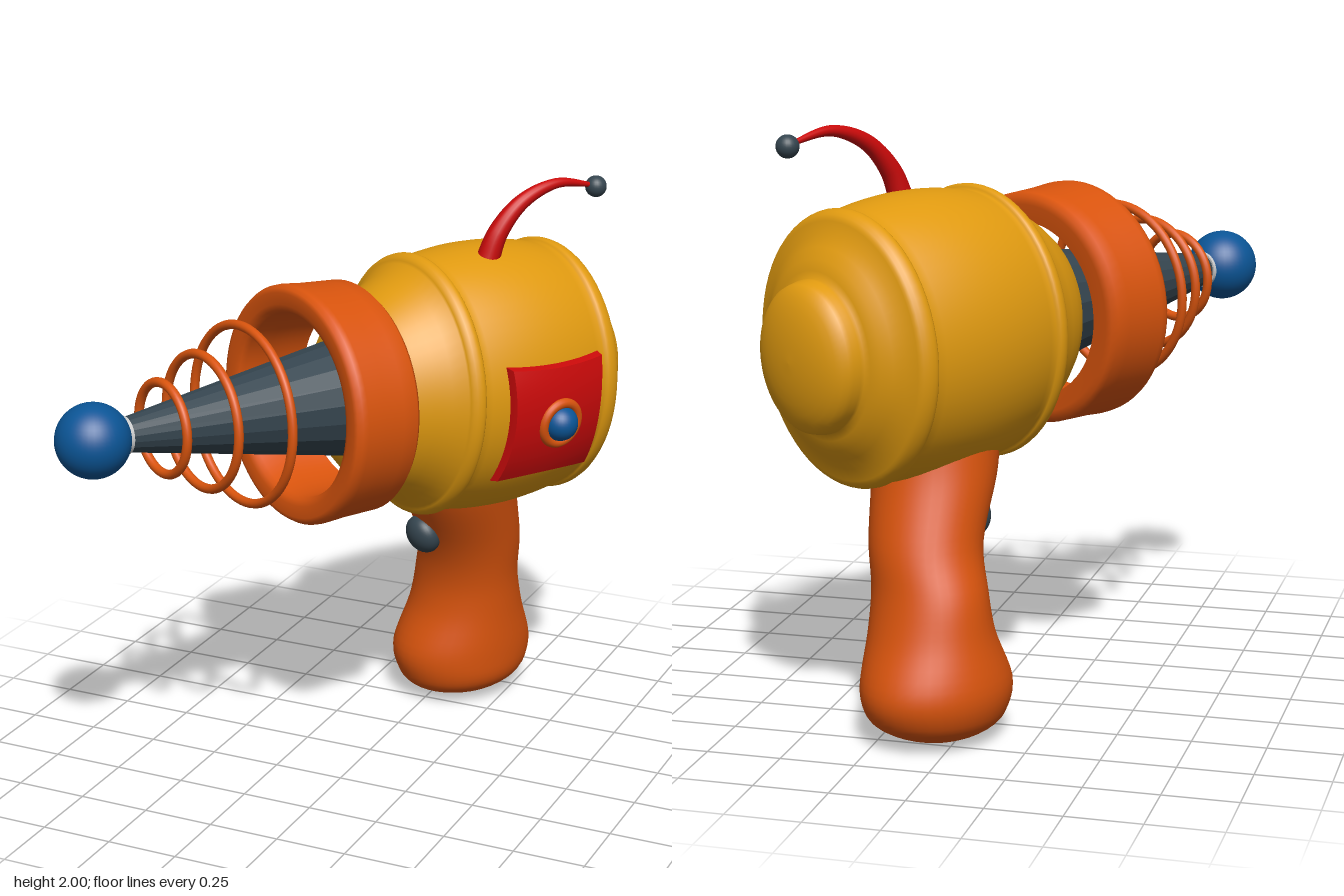
import * as THREE from 'three';
import { mergeVertices } from 'three/addons/utils/BufferGeometryUtils.js';

const mat = (color, extra = {}) => new THREE.MeshStandardMaterial({ color, ...extra });
const YELLOW = mat(0xe09a10), ORANGE = mat(0xd9540d), RED = mat(0xcc0a0a);
const BLUE = mat(0x0b5596), DARK = mat(0x35454f), GREY = mat(0xcccccc);
const DARK_FLAT = mat(0x35454f, { flatShading: true });
const YAW = -Math.PI / 6;   // the barrel points forward and to the model's right
const SQUASH = 0.88;        // the body is narrower than it is tall

function add(parent, name, geometry, material, x = 0, y = 0, z = 0) {
  const mesh = new THREE.Mesh(geometry, material);
  mesh.name = name;
  mesh.position.set(x, y, z);
  parent.add(mesh);
  return mesh;
}

// Lathe around z; points are [z, radius] running from back to front
const latheZ = (pts, seg = 64) =>
  new THREE.LatheGeometry(pts.map(([z, r]) => new THREE.Vector2(r, z)), seg).rotateX(Math.PI / 2);

// Barrel radius along z
const barrel = z => 0.475 - 0.45 * (z + 0.5) ** 2;

// Half-round ridge on the barrel
function ridge(z0, half, height) {
  const pts = [];
  for (let i = 0; i <= 8; i++) {
    const a = Math.PI * (1 - i / 8), z = z0 + half * Math.cos(a);
    pts.push([z, barrel(z) + height * Math.sin(a)]);
  }
  return pts;
}

function bodyGeometry() {
  const pts = [];
  // Domed rear cap
  for (let i = 0; i <= 8; i++) {
    const a = (Math.PI / 2) * (i / 8);
    pts.push([-0.965 - 0.085 * Math.cos(a), 0.245 * Math.sin(a)]);
  }
  pts.push([-0.94, 0.25], [-0.925, 0.25], [-0.92, 0.275], [-0.905, 0.31], [-0.88, 0.345], [-0.855, 0.38]);
  pts.push(...ridge(-0.805, 0.035, 0.022));
  for (let i = 1; i < 16; i++) {
    const z = -0.77 + 0.53 * (i / 16);
    pts.push([z, barrel(z)]);
  }
  pts.push(...ridge(-0.215, 0.03, 0.025));
  // Nose running into the collar
  pts.push([-0.14, 0.395], [-0.09, 0.367], [-0.04, 0.34], [0.02, 0.295], [0.07, 0.24], [0.1, 0.17], [0.12, 0]);
  return latheZ(pts);
}

// Curved plate that follows the flank of the body
function panelGeometry(zc, yc, length, height) {
  const geo = new THREE.BoxGeometry(1, 2, 2, 2, 16, 16);
  const p = geo.attributes.position;
  for (let i = 0; i < p.count; i++) {
    const v = p.getY(i), w = p.getZ(i), outer = p.getX(i) > 0;
    const pinch = outer ? 0.97 : 1;
    const y = yc + v * (height / 2) * (0.95 + 0.05 * w * w) * pinch;
    const z = zc + w * (length / 2) * (0.95 + 0.05 * v * v) * pinch;
    const flank = SQUASH * Math.sqrt(barrel(z) ** 2 - y * y);
    p.setXYZ(i, flank + p.getX(i) * 0.06, y, z);
  }
  geo.computeVertexNormals();
  return geo;
}

// Grip: centre and half sizes (along and across the barrel) swept from top to bottom
function gripGeometry() {
  const sections = [ // x, y, z, along, across
    [0.13, 0.98, -0.47, 0.215, 0.215], [0.123, 0.85, -0.51, 0.207, 0.207],
    [0.125, 0.65, -0.6, 0.185, 0.193], [0.1, 0.5, -0.645, 0.18, 0.204],
    [0.088, 0.36, -0.665, 0.207, 0.213], [0.07, 0.2, -0.675, 0.268, 0.23],
    [0.07, 0.1, -0.67, 0.25, 0.215], [0.065, 0.045, -0.66, 0.195, 0.168],
    [0.06, 0.01, -0.66, 0.1, 0.086], [0.06, 0, -0.66, 0, 0],
  ];
  const centre = new THREE.CatmullRomCurve3(sections.map(s => new THREE.Vector3(s[0], s[1], s[2])), false, 'catmullrom');
  const size = new THREE.CatmullRomCurve3(sections.map(s => new THREE.Vector3(s[3], s[4], 0)), false, 'catmullrom');
  const geo = new THREE.CylinderGeometry(1, 1, 1, 40, 45, true);
  const p = geo.attributes.position, v = new THREE.Vector3(), up = new THREE.Vector3(0, 1, 0);
  for (let i = 0; i < p.count; i++) {
    const t = THREE.MathUtils.clamp(0.5 - p.getY(i), 0, 1);
    const half = size.getPoint(t);
    v.set(p.getX(i) * half.y, 0, p.getZ(i) * half.x).applyAxisAngle(up, YAW).add(centre.getPoint(t));
    p.setXYZ(i, v.x, Math.max(0, v.y), v.z);
  }
  geo.deleteAttribute('uv');
  geo.deleteAttribute('normal');
  const smooth = mergeVertices(geo);
  smooth.computeVertexNormals();
  return smooth;
}

// Tube that narrows from its start to its end
function taperedTube(points, r0, r1) {
  const curve = new THREE.CatmullRomCurve3(points.map(q => new THREE.Vector3(...q)));
  const rings = 32, sides = 16;
  const geo = new THREE.TubeGeometry(curve, rings, r0, sides);
  const p = geo.attributes.position, v = new THREE.Vector3();
  for (let i = 0; i < p.count; i++) {
    const t = Math.floor(i / (sides + 1)) / rings, c = curve.getPointAt(t);
    v.fromBufferAttribute(p, i).sub(c).multiplyScalar(1 + (r1 / r0 - 1) * t).add(c);
    p.setXYZ(i, v.x, v.y, v.z);
  }
  return geo;
}

export function createModel() {
  const model = new THREE.Group();
  model.name = 'rayGun';

  // Everything along the barrel axis, which points along local +z
  const gun = new THREE.Group();
  gun.name = 'barrelAssembly';
  gun.rotation.set(-0.035, YAW, 0, 'YXZ');
  gun.position.set(-0.056, 1.325, -0.033);
  model.add(gun);

  add(gun, 'body', bodyGeometry(), YELLOW).scale.x = SQUASH;

  add(gun, 'collar', latheZ([
    [0.03, 0.3], [0.025, 0.36], [0.028, 0.385], [0.045, 0.4], [0.1, 0.402], [0.18, 0.405], [0.25, 0.411],
    [0.272, 0.41], [0.288, 0.4], [0.293, 0.385], [0.29, 0.345], [0.282, 0.325], [0.265, 0.315],
    [0.18, 0.31], [0.1, 0.308], [0.03, 0.3],
  ]), ORANGE);

  // Emitter: cone, coils, neck ring and ball
  add(gun, 'emitterCone', new THREE.CylinderGeometry(0.055, 0.215, 0.93, 18).rotateX(Math.PI / 2), DARK_FLAT, 0, 0, 0.475);
  add(gun, 'neckRing', new THREE.CylinderGeometry(0.064, 0.064, 0.02, 32).rotateX(Math.PI / 2), GREY, 0, 0, 0.936);
  add(gun, 'emitterBall', new THREE.SphereGeometry(0.125, 40, 28), BLUE, 0, 0, 1.045);
  [[0.785, 0.153], [0.635, 0.226], [0.477, 0.302]].forEach(([z, r], i) =>
    add(gun, `coil${i + 1}`, new THREE.TorusGeometry(r, 0.016, 14, 64), ORANGE, 0, 0, z));

  // Side panel with its round button
  add(gun, 'sidePanel', panelGeometry(-0.535, -0.067, 0.41, 0.42), RED);
  const button = new THREE.Group();
  button.name = 'sideButton';
  button.position.set(0.44, -0.07, -0.535);
  button.rotation.z = -0.13;
  gun.add(button);
  add(button, 'buttonRing', new THREE.TorusGeometry(0.073, 0.018, 14, 48).rotateY(Math.PI / 2), ORANGE);
  add(button, 'buttonDome', new THREE.SphereGeometry(0.062, 32, 20), BLUE);

  // Grip and trigger
  add(model, 'grip', gripGeometry(), ORANGE);
  const trigger = add(model, 'trigger', new THREE.SphereGeometry(0.073, 32, 20), DARK, 0.022, 0.69, -0.415);
  trigger.rotation.set(0.35, YAW, 0, 'YXZ');
  trigger.scale.z = 0.75;

  // Antenna sweeping backwards
  add(model, 'antenna', taperedTube([
    [0.262, 1.74, -0.395], [0.29, 1.84, -0.425], [0.345, 1.935, -0.495],
    [0.425, 1.985, -0.615], [0.515, 1.955, -0.775],
  ], 0.042, 0.007), RED);
  add(model, 'antennaTip', new THREE.SphereGeometry(0.038, 24, 16), DARK, 0.517, 1.95, -0.776);

  return model;
}
